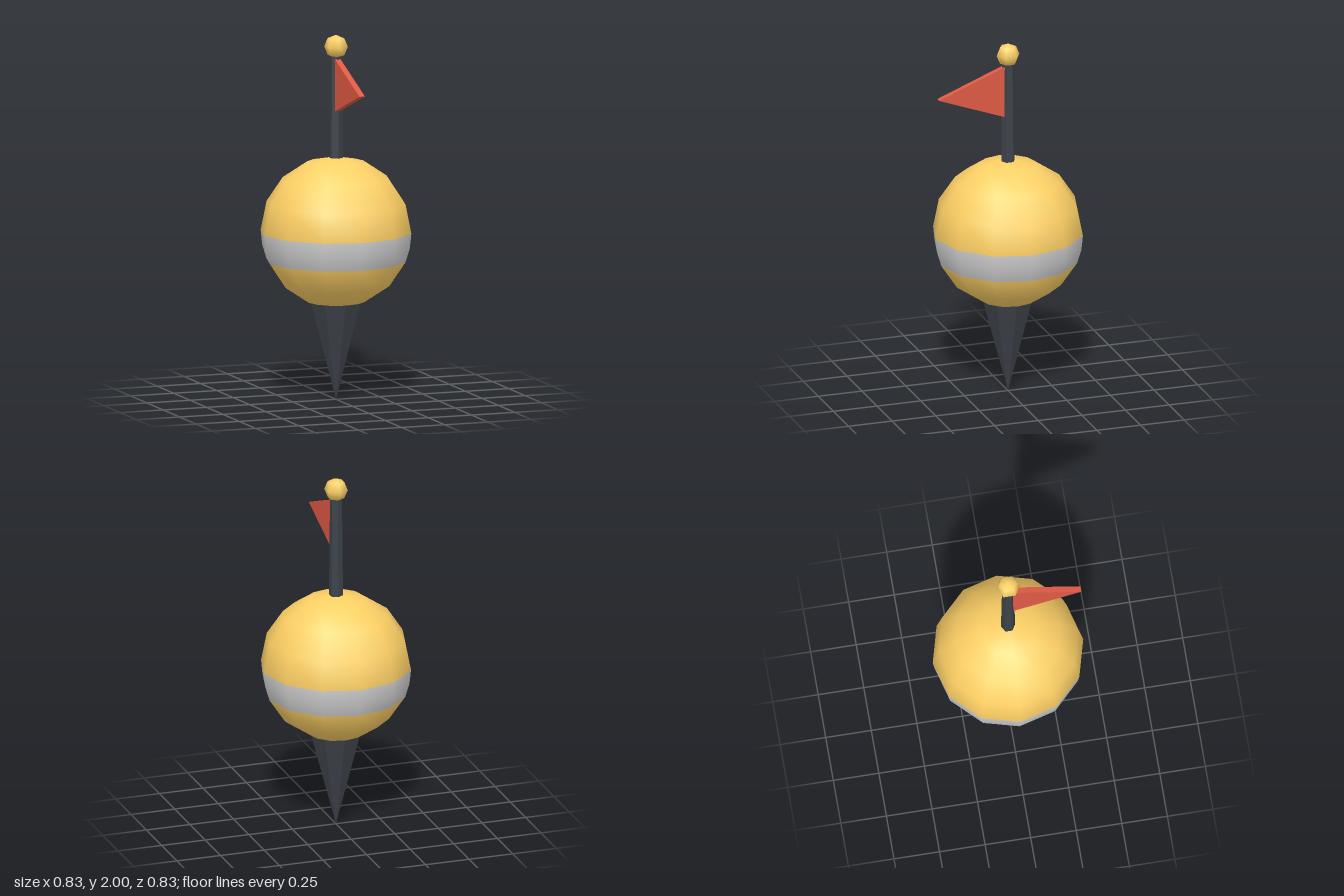
import * as THREE from 'three';

const paint = (color, flatShading = false) => new THREE.MeshStandardMaterial({ color, flatShading });

export function createModel() {
  const model = new THREE.Group();
  const gold = paint(0xffd166);
  const grey = paint(0xcccccc);
  const dark = paint(0x3d434a, true);
  const red = paint(0xe05a45, true);

  const add = (parent, name, geometry, material, y = 0) => {
    const mesh = new THREE.Mesh(geometry, material);
    mesh.name = name;
    mesh.position.y = y;
    parent.add(mesh);
    return mesh;
  };

  // Float ball: eight rings in all, the one just below the middle is the band
  const ball = new THREE.Group();
  ball.name = 'floatBall';
  ball.position.y = 0.92;
  model.add(ball);
  const ring = Math.PI / 8;
  const zone = (first, count) =>
    new THREE.SphereGeometry(0.413, 12, count, 0, Math.PI * 2, first * ring, count * ring);
  add(ball, 'upperBall', zone(0, 4), gold);
  add(ball, 'band', zone(4, 1), grey);
  add(ball, 'lowerBall', zone(5, 3), gold);

  // Pointed spike below, its base sunk into the ball
  const spike = new THREE.ConeGeometry(0.153, 0.57, 8);
  spike.rotateX(Math.PI);
  add(model, 'spike', spike, dark, 0.285);

  // Slightly tapered six-sided pole
  add(model, 'pole', new THREE.CylinderGeometry(0.033, 0.039, 0.6, 6), dark, 1.59);

  // Knob on top of the pole, corners facing front and back
  const knob = new THREE.SphereGeometry(0.065, 6, 4);
  knob.rotateY(Math.PI / 2);
  add(model, 'knob', knob, gold, 1.935);

  // Triangular pennant pointing forward
  const outline = new THREE.Shape([
    new THREE.Vector2(0, 1.575),
    new THREE.Vector2(0.4, 1.722),
    new THREE.Vector2(0, 1.88),
  ]);
  const pennant = new THREE.ExtrudeGeometry(outline, { depth: 0.032, bevelEnabled: false });
  pennant.translate(0, 0, -0.016);
  pennant.rotateY(-Math.PI / 2);
  add(model, 'pennant', pennant, red);

  return model;
}
